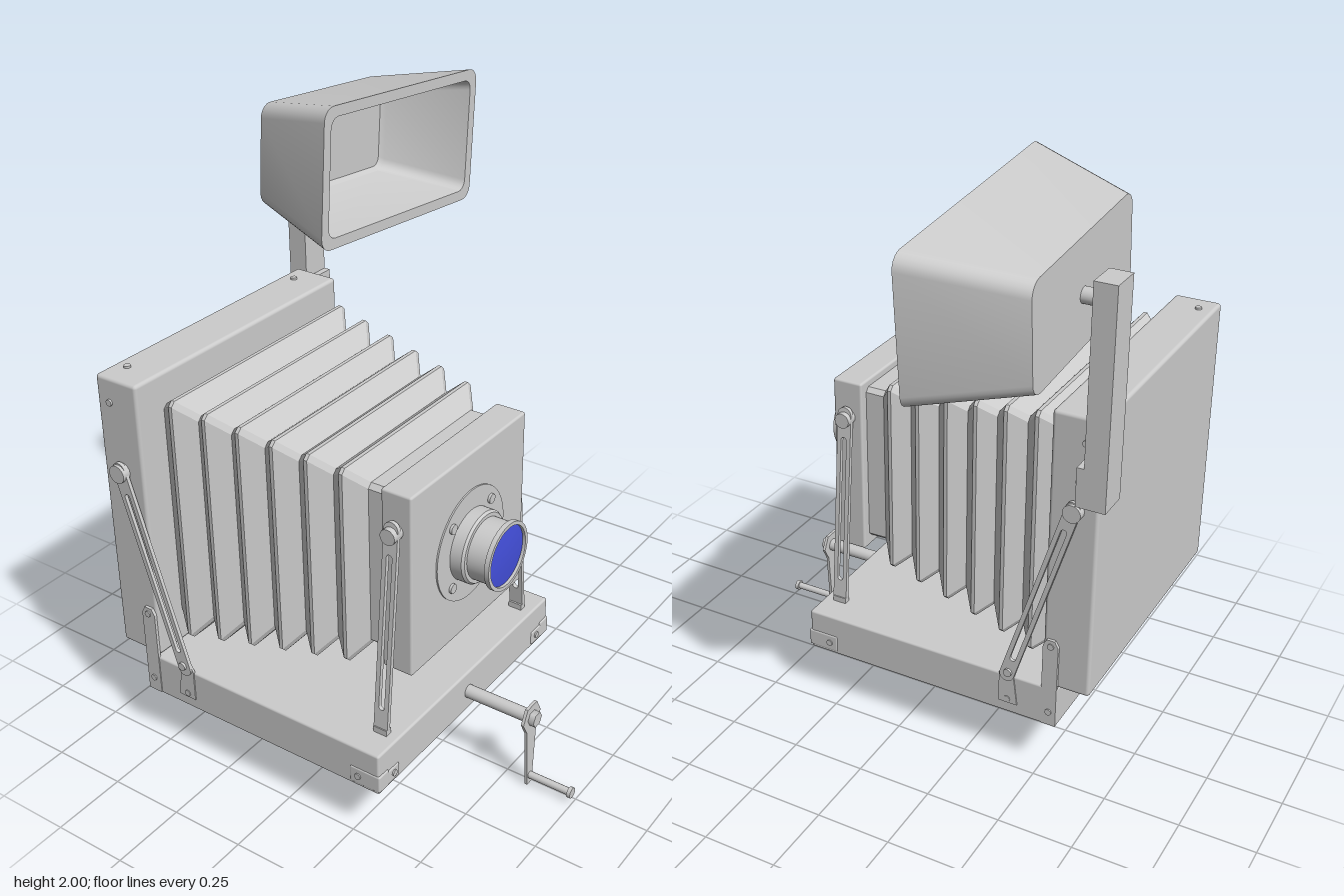
import * as THREE from 'three';
import { toCreasedNormals } from 'three/addons/utils/BufferGeometryUtils.js';
import { RoundedBoxGeometry } from 'three/addons/geometries/RoundedBoxGeometry.js';

const grey = new THREE.MeshStandardMaterial({ color: 0xcccccc });
const blue = new THREE.MeshStandardMaterial({ color: 0x4450dd });

function add(parent, name, geometry, x = 0, y = 0, z = 0, material = grey) {
  const mesh = new THREE.Mesh(geometry, material);
  mesh.name = name;
  mesh.position.set(x, y, z);
  parent.add(mesh);
  return mesh;
}

// Box given by its lower and upper limits on each axis
function block(parent, name, [x0, x1], [y0, y1], [z0, z1], r = 0) {
  const size = [x1 - x0, y1 - y0, z1 - z0];
  const geo = r ? new RoundedBoxGeometry(...size, 2, r) : new THREE.BoxGeometry(...size);
  return add(parent, name, geo, (x0 + x1) / 2, (y0 + y1) / 2, (z0 + z1) / 2);
}

const rodX = (r, len, n = 24) => new THREE.CylinderGeometry(r, r, len, n).rotateZ(-Math.PI / 2);
const rodZ = (r, len, n = 16) => new THREE.CylinderGeometry(r, r, len, n).rotateX(Math.PI / 2);

// Turned part along x from [radius, x] points
function turned(points) {
  const geo = new THREE.LatheGeometry(points.map(p => new THREE.Vector2(...p)), 48);
  return toCreasedNormals(geo.rotateZ(-Math.PI / 2), 0.6);
}

// Rounded rectangle cross-section facing +x
function ring(x, w, h, r, steps = 5) {
  const pts = [];
  for (let c = 0; c < 4; c++) {
    const sx = c === 0 || c === 3 ? 1 : -1, sy = c < 2 ? 1 : -1;
    for (let i = 0; i <= steps; i++) {
      const a = (c + i / steps) * Math.PI / 2;
      pts.push([x, sy * (h / 2 - r) + r * Math.sin(a), -sx * (w / 2 - r) - r * Math.cos(a)]);
    }
  }
  return pts;
}

// Skin through successive rings, closed at both ends
function loft(rings, crease) {
  const n = rings[0].length, index = [];
  for (let k = 0; k < rings.length - 1; k++) {
    for (let i = 0; i < n; i++) {
      const a = k * n + i, b = k * n + (i + 1) % n;
      index.push(a, b, b + n, a, b + n, a + n);
    }
  }
  const end = (rings.length - 1) * n;
  for (let i = 1; i < n - 1; i++) {
    index.push(0, i + 1, i, end, end + i, end + i + 1);
  }
  const geo = new THREE.BufferGeometry();
  geo.setAttribute('position', new THREE.Float32BufferAttribute(rings.flat(2), 3));
  geo.setIndex(index);
  return toCreasedNormals(geo, crease);
}

// Round-ended bar outline hanging down from the origin
function capsule(path, r, top, bottom) {
  path.absarc(0, top, r, 0, Math.PI, false);
  path.absarc(0, bottom, r, Math.PI, 2 * Math.PI, false);
  path.closePath();
  return path;
}

function slottedBar(length, width, thick) {
  const shape = capsule(new THREE.Shape(), width / 2, 0, -length);
  shape.holes.push(capsule(new THREE.Path(), width * 0.2, -0.09, -length + 0.07));
  return new THREE.ExtrudeGeometry(shape, { depth: thick, bevelEnabled: false, curveSegments: 8 })
    .translate(0, 0, -thick / 2);
}

function polygon(points, depth) {
  const shape = new THREE.Shape(points.map(p => new THREE.Vector2(...p)));
  return new THREE.ExtrudeGeometry(shape, { depth, bevelEnabled: false });
}

export function createModel() {
  const model = new THREE.Group();
  model.name = 'bellowsCamera';
  const cam = new THREE.Group();
  cam.name = 'camera';
  cam.position.z = 0.265;
  model.add(cam);

  // Wooden case and folding bed
  block(cam, 'rearCase', [-0.665, -0.505], [0.345, 1.31], [-0.485, 0.485], 0.012);
  block(cam, 'bed', [-0.56, 0.355], [0.195, 0.34], [-0.492, 0.492], 0.008);
  block(cam, 'frontStandard', [0.245, 0.35], [0.517, 1.135], [-0.31, 0.31], 0.008);

  // Pleated bellows tapering to the front
  const folds = [ring(-0.51, 0.74, 0.74, 0.015, 1)];
  for (let i = 0; i < 6; i++) {
    const x = -0.43 + i * 0.111, half = 0.425 - i * 0.0175;
    folds.push(ring(x - 0.006, half * 2, half * 2, 0.015, 1));
    folds.push(ring(x + 0.006, half * 2, half * 2, 0.015, 1));
    const valley = half - 0.058;
    folds.push(ring(x + 0.055, valley * 2, valley * 2, 0.015, 1));
  }
  folds.push(ring(0.25, 0.56, 0.56, 0.015, 1));
  add(cam, 'bellows', loft(folds, 0.2), 0, 0.83, 0);

  // Lens with mounting plate and screws
  const lens = new THREE.Group();
  lens.name = 'lens';
  lens.position.y = 0.825;
  cam.add(lens);
  add(lens, 'lensPlate', rodX(0.185, 0.008, 48), 0.351);
  add(lens, 'lensBarrel', turned([[0, 0.35], [0.118, 0.35], [0.118, 0.395], [0.112, 0.403],
    [0.1, 0.403], [0.1, 0.467], [0.111, 0.47], [0.111, 0.486], [0.099, 0.486], [0.099, 0.474], [0, 0.474]]));
  add(lens, 'lensGlass', turned([[0.1, 0.476], [0.07, 0.479], [0.035, 0.481], [0, 0.482]]), 0, 0, 0, blue);
  for (const y of [-0.105, 0.105]) {
    for (const z of [-0.105, 0.105]) add(lens, 'lensScrew', rodX(0.016, 0.012, 16), 0.357, y, z);
  }

  // Hardware repeated on both sides
  for (const s of [1, -1]) {
    // Slanted brace between case and bed
    const angle = Math.atan2(0.2, 0.66);
    const brace = add(cam, 'sideBrace', slottedBar(0.69, 0.05, 0.012), -0.59, 1.01, s * 0.497);
    brace.rotation.z = angle;
    add(cam, 'braceKnob', rodZ(0.03, 0.035), -0.59, 1.0, s * 0.496);
    add(cam, 'bracePin', rodZ(0.014, 0.03), -0.395, 0.36, s * 0.496);

    // Upright leg and brace foot fixed to the bed
    const bracket = [[-0.56, 0.2], [-0.508, 0.2], [-0.508, 0.5], [-0.52, 0.522], [-0.548, 0.522], [-0.56, 0.5]];
    add(cam, 'cornerBracket', polygon(bracket, 0.01), 0, 0, s * 0.49 - 0.005);
    const foot = [[-0.425, 0.235], [-0.36, 0.235], [-0.36, 0.345], [-0.385, 0.385], [-0.405, 0.385]];
    add(cam, 'braceFoot', polygon(foot, 0.008), 0, 0, s * 0.492 - 0.004);
    for (const [x, y] of [[-0.535, 0.25], [-0.535, 0.5], [-0.39, 0.25], [0.28, 0.235], [-0.615, 1.228]]) {
      add(cam, 'sideScrew', rodZ(0.011, 0.014, 12), x, y, s * (y > 1 ? 0.484 : 0.492));
    }

    // Leaning support of the front standard
    const stay = add(cam, 'frontStay', slottedBar(0.665, 0.05, 0.014), 0.296, 1.025, s * 0.328);
    stay.rotation.x = -s * 0.095;
    add(cam, 'stayKnob', rodZ(0.026, 0.045), 0.296, 1.01, s * 0.33);
    block(cam, 'stayFoot', [0.272, 0.32], [0.335, 0.36], [s * 0.39 - 0.012, s * 0.39 + 0.012]);

    // Metal corners of bed and case
    block(cam, 'bedCorner', [0.25, 0.36], [0.205, 0.265], [s * 0.47 - 0.025, s * 0.47 + 0.025], 0.006);
    block(cam, 'bedFrontCorner', [0.34, 0.359], [0.205, 0.255], [s * 0.44 - 0.05, s * 0.44 + 0.05], 0.006);
    add(cam, 'frontScrew', rodX(0.011, 0.012, 12), 0.358, 0.233, s * 0.418);
    add(cam, 'topScrew', new THREE.CylinderGeometry(0.011, 0.011, 0.014, 12), -0.615, 1.31, s * 0.4);
  }

  // Focusing crank
  const crank = new THREE.Group();
  crank.name = 'crank';
  crank.position.y = 0.265;
  cam.add(crank);
  add(crank, 'crankShaft', rodX(0.022, 0.235), 0.467);
  add(crank, 'crankNut', rodX(0.026, 0.03, 6), 0.595);
  const arm = [[-0.052, 0], [-0.028, -0.045], [-0.014, -0.263], [0.014, -0.263], [0.028, -0.045],
    [0.052, 0], [0.028, 0.046], [-0.028, 0.046]];
  add(crank, 'crankArm', polygon(arm, 0.01).rotateY(Math.PI / 2), 0.58);
  add(crank, 'crankHandle', rodX(0.012, 0.15, 16), 0.665, -0.23);
  add(crank, 'handleEnd', rodX(0.018, 0.012, 16), 0.739, -0.23);

  // Post carrying the flash, bolted to the back of the case
  const stand = new THREE.Group();
  stand.name = 'flashStand';
  model.add(stand);
  block(stand, 'standPlate', [-0.682, -0.66], [1.12, 1.245], [-0.39, -0.145]);
  block(stand, 'standPost', [-0.752, -0.682], [1.12, 1.8], [-0.39, -0.287]);
  add(stand, 'standBolt', rodX(0.022, 0.02, 16), -0.656, 1.182, -0.337);
  add(stand, 'flashMount', rodX(0.024, 0.06, 20), -0.658, 1.733, -0.338);

  // Hollow flared reflector
  const reflector = loft([
    ring(-0.635, 0.63, 0.33, 0.045), ring(-0.305, 0.845, 0.45, 0.045),
    ring(-0.305, 0.775, 0.38, 0.035), ring(-0.585, 0.6, 0.305, 0.035), ring(-0.6, 0.57, 0.28, 0.03),
  ], 0.6);
  add(model, 'flashReflector', reflector, 0, 1.741, -0.334).rotation.x = -0.087;

  return model;
}
